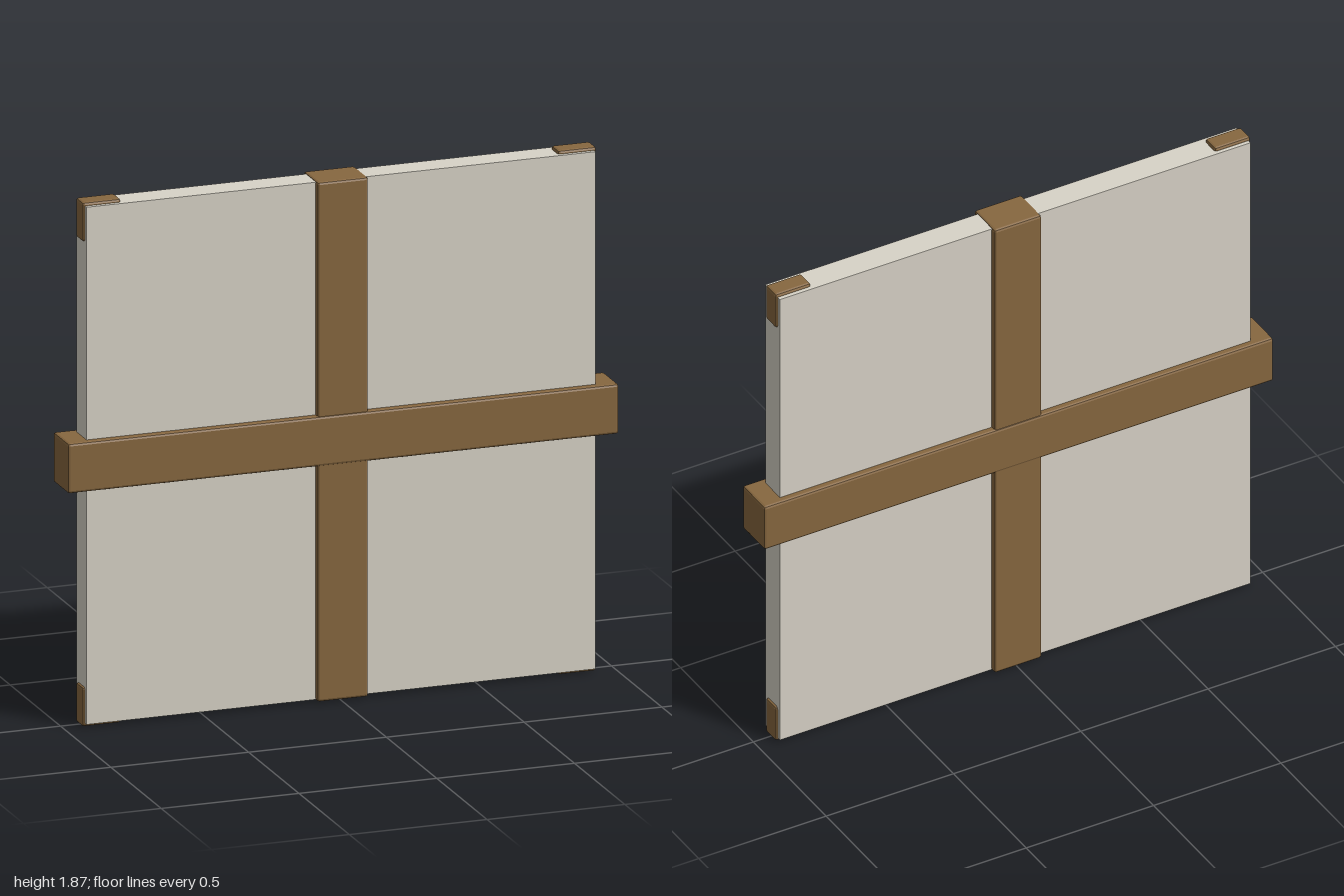
import * as THREE from 'three';
import { RoundedBoxGeometry } from 'three/addons/geometries/RoundedBoxGeometry.js';

const MID_Y = 0.936;

export function createModel() {
  const group = new THREE.Group();
  const wood = new THREE.MeshStandardMaterial({ color: 0x87673f, flatShading: true });
  const plaster = new THREE.MeshStandardMaterial({ color: 0xd8d3c7 });

  const add = (name, geometry, material, x = 0, y = MID_Y) => {
    const mesh = new THREE.Mesh(geometry, material);
    mesh.name = name;
    mesh.position.set(x, y, 0);
    group.add(mesh);
  };
  const timber = (w, h, d) => new RoundedBoxGeometry(w, h, d, 1, 0.009);

  // Flat wall panel
  add('panel', new THREE.BoxGeometry(1.848, 1.848, 0.1), plaster);

  // Crossing timbers, the horizontal one slightly thicker
  add('verticalBeam', timber(0.185, 1.856, 0.142), wood);
  add('horizontalBeam', timber(2, 0.178, 0.152), wood, 0, 0.94);

  // Small blocks let into the panel's four corners
  for (const sx of [-1, 1]) {
    for (const sy of [-1, 1]) {
      const name = (sy > 0 ? 'upper' : 'lower') + (sx > 0 ? 'Left' : 'Right') + 'CornerBlock';
      add(name, timber(0.14, 0.14, 0.07), wood, sx * 0.863, MID_Y + sy * 0.866);
    }
  }
  return group;
}
